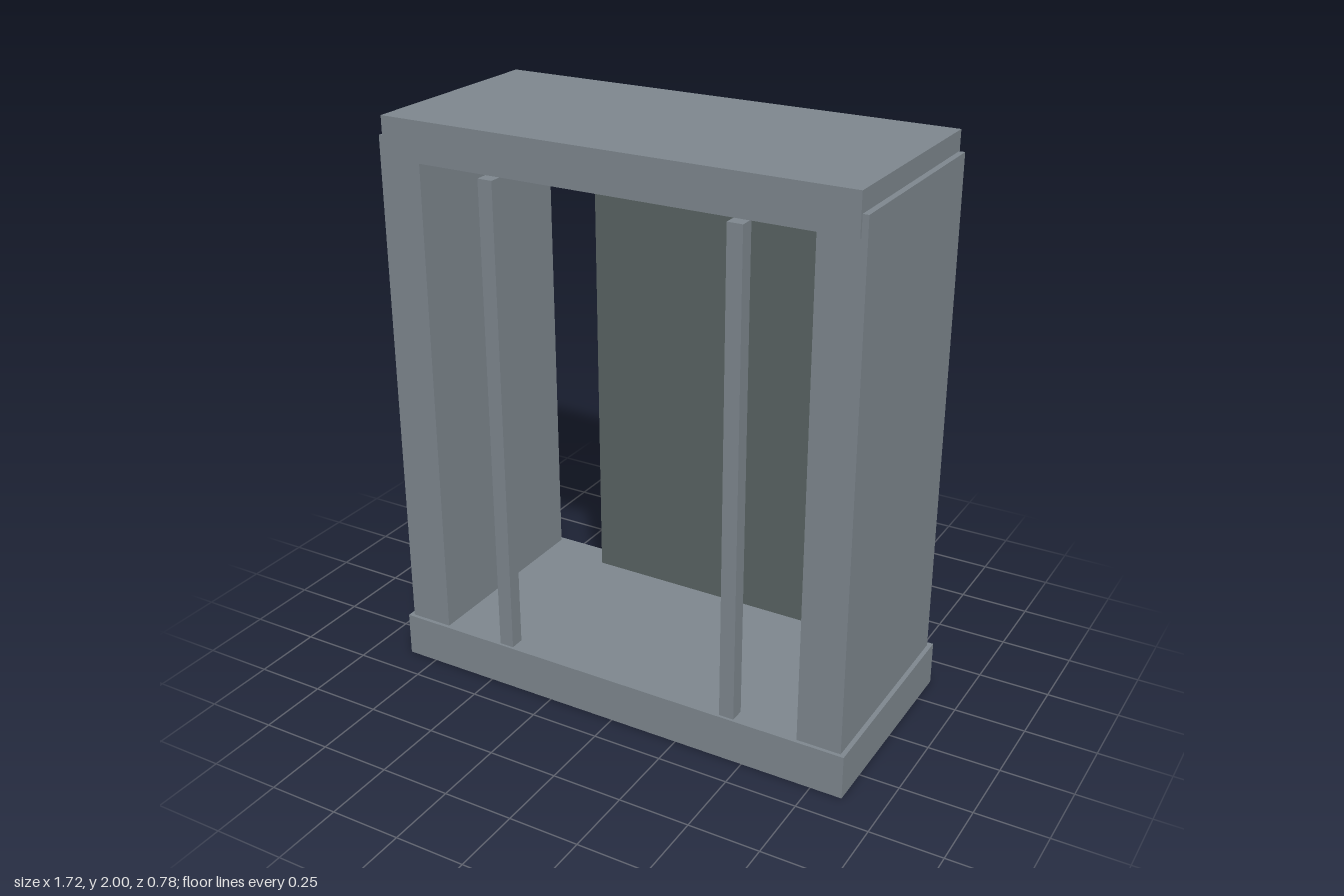
import * as THREE from 'three';

export function createModel() {
  const group = new THREE.Group();
  const mat = (name, color) => {
    const m = new THREE.MeshStandardMaterial({ color });
    m.name = name;
    return m;
  };
  const frame = mat('grey frame', 0x7f888f);
  const panel = mat('dark slate', 0x5a6464);
  const wood = mat('tan wood', 0xaf906a);

  // Box given by its low and high corner
  const box = (name, material, [x0, y0, z0], [x1, y1, z1]) => {
    const mesh = new THREE.Mesh(new THREE.BoxGeometry(x1 - x0, y1 - y0, z1 - z0), material);
    mesh.position.set((x0 + x1) / 2, (y0 + y1) / 2, (z0 + z1) / 2);
    mesh.name = name;
    group.add(mesh);
  };

  // Cabinet frame
  box('base', frame, [-0.861, 0, -0.372], [0.861, 0.157, 0.392]);
  box('top', frame, [-0.825, 1.862, -0.361], [0.825, 2, 0.387]);

  // Side walls and slim front posts, mirrored
  for (const [side, s] of [['left', 1], ['right', -1]]) {
    const span = (a, b) => (s > 0 ? [a, b] : [-b, -a]);
    const [w0, w1] = span(0.69, 0.845);
    box(side + 'Wall', frame, [w0, 0.15, -0.355], [w1, 1.932, 0.379]);
    const [p0, p1] = span(0.41, 0.463);
    box(side + 'Post', frame, [p0, 0.15, 0.33], [p1, 1.845, 0.382]);
  }

  // Door panel at the back
  box('door', panel, [-0.443, 0.17, -0.371], [0.443, 1.78, -0.261]);

  // Ten-sided knob beside the door, with flats at top and bottom
  const knobGeometry = new THREE.CylinderGeometry(0.109, 0.109, 0.065, 10)
    .toNonIndexed()
    .rotateY(Math.PI / 2)
    .rotateX(Math.PI / 2);
  knobGeometry.computeVertexNormals();
  const knob = new THREE.Mesh(knobGeometry, wood);
  knob.position.set(0.592, 1.02, -0.3575);
  knob.name = 'knob';
  group.add(knob);

  return group;
}
